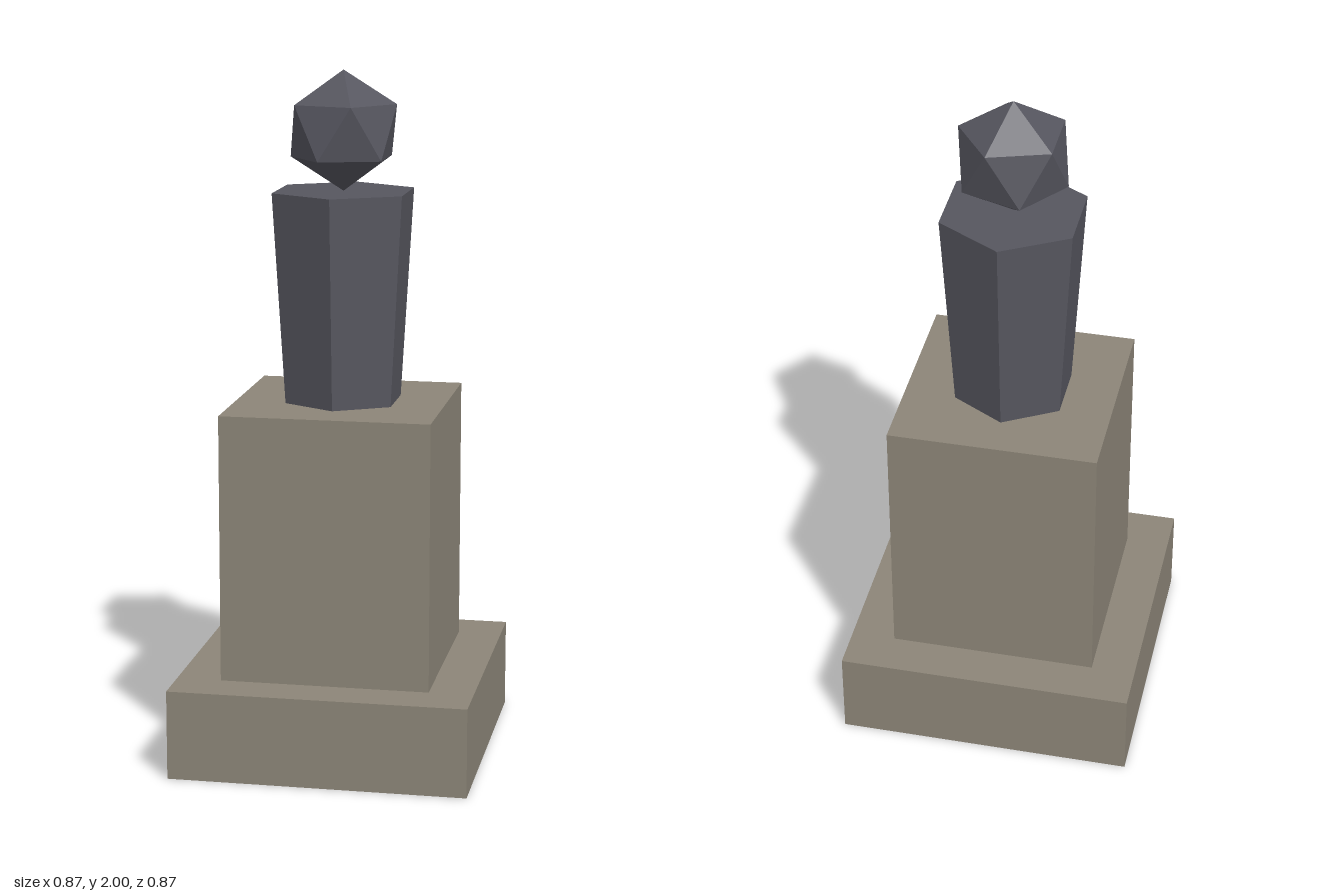
import * as THREE from 'three';

export function createModel() {
  const group = new THREE.Group();

  const stone = new THREE.MeshStandardMaterial({ color: 0x8c8578, flatShading: true });
  stone.name = 'warm grey stone';
  const slate = new THREE.MeshStandardMaterial({ color: 0x56565f, flatShading: true });
  slate.name = 'dark slate';

  const add = (name, geometry, material, y) => {
    const mesh = new THREE.Mesh(geometry, material);
    mesh.name = name;
    mesh.position.y = y;
    group.add(mesh);
  };

  // Square plinth and the pedestal block on it
  add('plinth', new THREE.BoxGeometry(0.867, 0.262, 0.867), stone, 0.131);
  add('pedestal', new THREE.BoxGeometry(0.608, 0.781, 0.608), stone, 0.6525);

  // Six-sided torso widening upward, its foot sunk slightly into the pedestal
  add('torso', new THREE.CylinderGeometry(0.217, 0.173, 0.695, 6), slate, 1.3075);

  // Faceted head, tilted so that one corner points straight up
  const head = new THREE.IcosahedronGeometry(0.173, 0);
  head.rotateZ(-Math.atan(2 / (1 + Math.sqrt(5))));
  add('head', head, slate, 1.827);

  return group;
}
